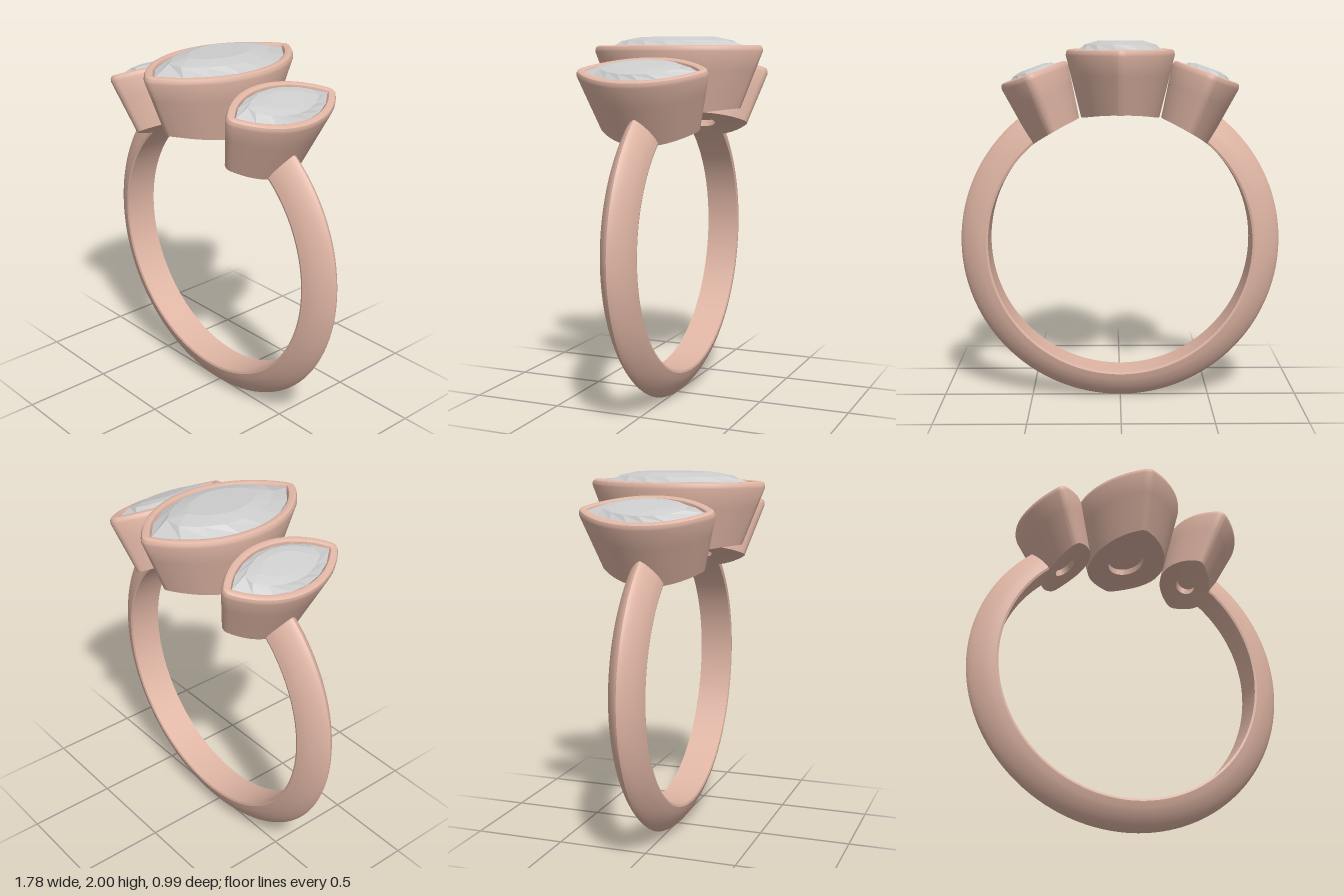
import * as THREE from 'three';
import { toCreasedNormals } from 'three/addons/utils/BufferGeometryUtils.js';

const BORE = 0.73, OUTER = 0.888, CY = 0.888;   // finger hole radius, band radius, ring centre height
const metal = new THREE.MeshStandardMaterial({ color: 0xdfb5a4 });
const gem = new THREE.MeshStandardMaterial({ color: 0xcccccc, flatShading: true });

// Point of a pointed oval (half width a, half length b), grown by off, at normal angle phi
function marquise(a, b, off, phi) {
  const R = (a * a + b * b) / (2 * a);
  const c = Math.cos(phi), s = Math.sin(phi);
  const onTip = Math.abs(s) > b / R;
  const x = onTip ? 0 : R * c - Math.sign(c) * (R - a);
  const z = onTip ? Math.sign(s) * b : R * s;
  return [x + off * c, z + off * s];
}

// Skin closed rings of Vector3, ordered from the top inside, over and down the outside
function loft(rings) {
  const n = rings[0].length, index = [];
  for (let i = 0; i < rings.length - 1; i++)
    for (let j = 0; j < n; j++) {
      const k = (j + 1) % n;
      const a = i * n + j, b = i * n + k, c = b + n, d = a + n;
      index.push(a, b, d, b, c, d);
    }
  const geo = new THREE.BufferGeometry().setFromPoints(rings.flat());
  geo.setIndex(index);
  return geo;
}

// Slide from p towards q until the finger hole is reached
function toBore(p, q) {
  let lo = 0, hi = 2;
  const v = new THREE.Vector3();
  for (let i = 0; i < 30; i++) {
    const t = (lo + hi) / 2;
    v.lerpVectors(p, q, t);
    if (Math.hypot(v.x, v.y - CY) > BORE) lo = t; else hi = t;
  }
  return v;
}

function bezelGeometry({ a, b, rim, depth, hole }, frame) {
  const N = 120;
  const phis = Array.from({ length: N }, (_, j) => (j / N) * Math.PI * 2);
  const place = (x, y, z) => new THREE.Vector3(x, y, z).applyMatrix4(frame);
  const rings = [];
  // Seat wall and rounded rim: fraction of rim width, height
  for (const [f, y] of [[-0.1, -0.06], [0, -0.015], [0.12, -0.004], [0.35, 0], [0.65, 0],
    [0.86, -0.006], [0.97, -0.018], [1, -0.032]])
    rings.push(phis.map(p => {
      const [x, z] = marquise(a, b, f * rim, p);
      return place(x, y, z);
    }));
  // Tapered wall down to the finger hole, then the curved underside
  const lowest = s => phis.map(p => {
    const [x, z] = marquise(a, b, rim, p);
    return toBore(place(x * s, -0.032, z * s), place(x * s * 0.75, -depth, z * s * 0.75));
  });
  const foot = lowest(1);
  for (const t of [0.33, 0.66])
    rings.push(rings[7].map((v, j) => v.clone().lerp(foot[j], t)));
  rings.push(foot, lowest(0.88), lowest(0.76));
  // Oval recess in the underside
  const edge = phis.map(p => {
    const x = hole[0] * Math.cos(p), z = hole[1] * Math.sin(p);
    return toBore(place(x, -0.032, z), place(x, -depth, z));
  });
  const up = new THREE.Vector3(0, 1, 0).transformDirection(frame);
  const floor = edge.map(v => v.clone().addScaledVector(up, 0.035));
  const mid = floor.reduce((m, v) => m.addScaledVector(v, 1 / N), new THREE.Vector3());
  rings.push(edge, floor, phis.map(() => mid.clone()));
  return toCreasedNormals(loft(rings), 0.6);
}

function stoneGeometry({ a, b, crown, depth }) {
  // Facet rings: scale, height, half-step twist
  const levels = [[0, crown, 0], [0.5, crown, 0], [0.78, crown * 0.55, 0.5], [1, -0.014, 0],
    [1, -0.025, 0], [0.6, -depth * 0.4, 0.5], [0, -depth * 0.65, 0]];
  const R = (a * a + b * b) / (2 * a), tip = Math.asin(b / R), H = 7;
  const rings = levels.map(([s, y, twist]) => Array.from({ length: 2 * H }, (_, j) => {
    const u = (j + twist) % (2 * H), side = u < H ? 0 : Math.PI;
    const phi = side + tip * (2 * (u % H) / H - 1) * 0.9999;
    const [x, z] = marquise(a, b, 0, phi);
    return new THREE.Vector3(x * s, y, z * s);
  }));
  const geo = loft(rings).toNonIndexed();
  geo.computeVertexNormals();
  return geo;
}

function bandGeometry() {
  // Knife-edged section: curved flanks meeting at the outer ridge, flat inside
  const profile = [], n = 10, w = 0.098;
  for (let i = -n; i <= n; i++) {
    const t = Math.abs(i) / n;
    const r = BORE + 0.012 + (OUTER - BORE - 0.012) * Math.pow(1 - Math.pow(t, 1.35), 0.72);
    profile.push(new THREE.Vector2(r, w * i / n));
  }
  profile.push(new THREE.Vector2(BORE, w - 0.004), new THREE.Vector2(BORE, 0.004 - w), profile[0].clone());
  const gap = THREE.MathUtils.degToRad(37.5);
  const geo = new THREE.LatheGeometry(profile, 128, gap, Math.PI * 2 - 2 * gap);
  geo.rotateX(-Math.PI / 2);
  geo.translate(0, CY, 0);
  return toCreasedNormals(geo, 0.6);
}

export function createModel() {
  const ring = new THREE.Group();
  ring.name = 'threeStoneRing';
  const add = (name, geo, mat) => {
    const mesh = new THREE.Mesh(geo, mat);
    mesh.name = name;
    ring.add(mesh);
    return mesh;
  };
  add('band', bandGeometry(), metal);

  const centre = { a: 0.247, b: 0.443, rim: 0.05, depth: 0.335, crown: 0.046, hole: [0.095, 0.15] };
  const side = { a: 0.145, b: 0.32, rim: 0.047, depth: 0.35, crown: 0.024, hole: [0.055, 0.085] };
  // Settings: name, sizes, x and y of the rim centre, tilt away from the middle
  for (const [name, spec, x, y, tilt] of [
    ['centre', centre, 0, 1.954, 0],
    ['left', side, 0.475, 1.83, 20],
    ['right', side, -0.475, 1.83, -20],
  ]) {
    const frame = new THREE.Matrix4()
      .makeRotationZ(-THREE.MathUtils.degToRad(tilt)).setPosition(x, y, 0);
    add(name + 'Bezel', bezelGeometry(spec, frame), metal);
    add(name + 'Stone', stoneGeometry(spec), gem).applyMatrix4(frame);
  }
  return ring;
}
